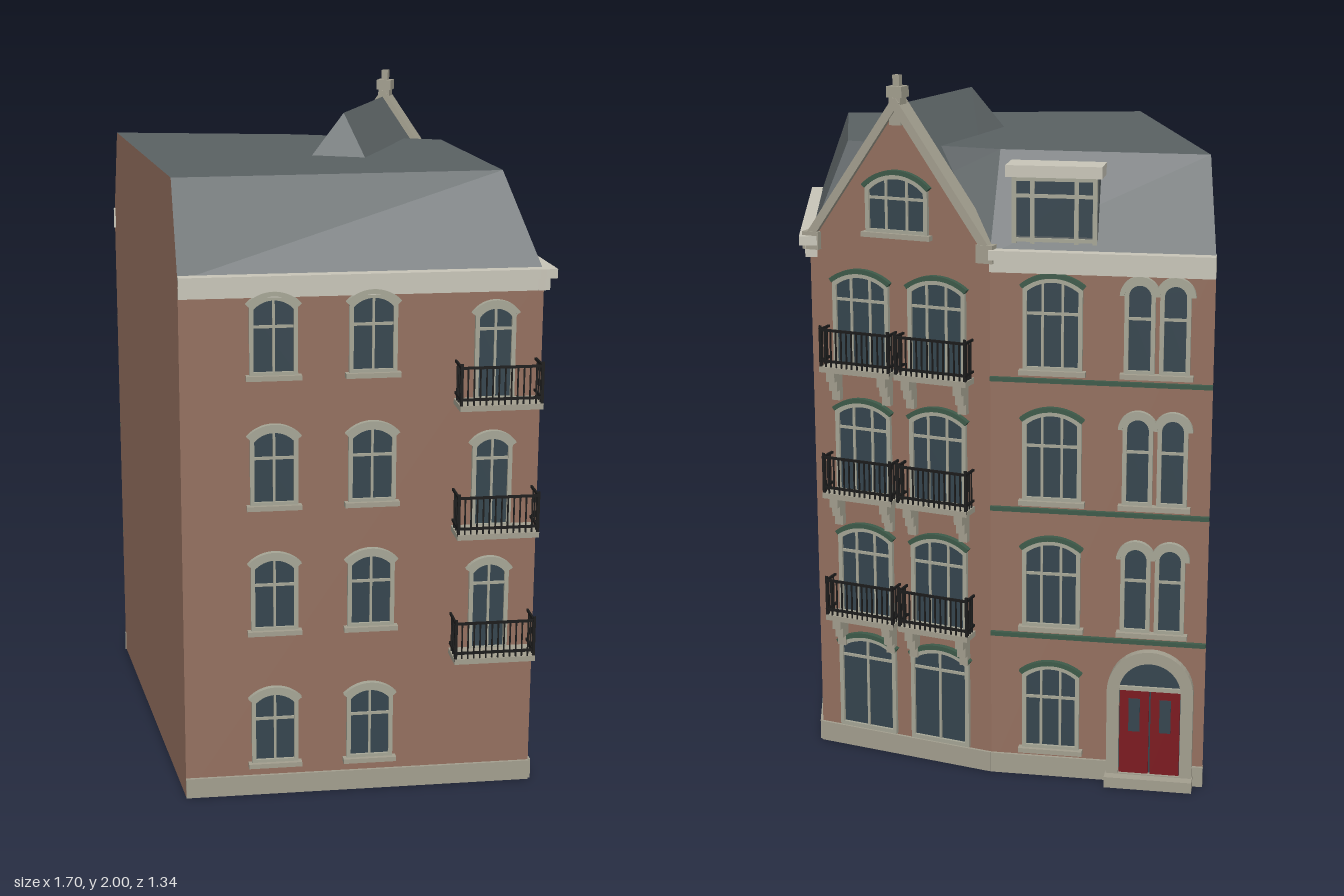
import * as THREE from 'three';

const mat = (color) => new THREE.MeshStandardMaterial({ color, flatShading: true, side: THREE.DoubleSide });
const M = {
  brick: mat(0x94705f), roof: mat(0x5a6163), stone: mat(0xa39f8f), cream: mat(0xc8c5b8), frame: mat(0xa6a696),
  glass: mat(0x35454e), iron: mat(0x1b1b1b), red: mat(0x7c1a20), green: mat(0x3d5a49),
};

// Footprint corners and the matching corners of the flat roof top, [x, z]
const FOOT = [[0.06, 0.645], [0.79, -0.06], [0.19, -0.63], [-0.33, -0.44], [-0.84, -0.1]];
const TOP = [[0, 0.595], [0.645, -0.065], [0.155, -0.51], [-0.28, -0.345], [-0.765, -0.038]];
const EAVE = 1.53, FLAT = 1.8, RIDGE = 1.92;

function add(parent, name, geometry, material, x = 0, y = 0, z = 0) {
  const m = new THREE.Mesh(geometry, material);
  m.name = name;
  m.position.set(x, y, z);
  parent.add(m);
  return m;
}
const box = (p, name, material, w, h, d, x, y, z) => add(p, name, new THREE.BoxGeometry(w, h, d), material, x, y, z);

// Flat-shaded mesh from convex polygons
function polygons(list) {
  const pos = [];
  for (const f of list) for (let i = 1; i < f.length - 1; i++) pos.push(...f[0], ...f[i], ...f[i + 1]);
  const g = new THREE.BufferGeometry();
  g.setAttribute('position', new THREE.Float32BufferAttribute(pos, 3));
  g.computeVertexNormals();
  return g;
}
const at = ([x, z], y) => [x, y, z];
const sideFace = (lo, hi, i, y0, y1) => {
  const j = (i + 1) % lo.length;
  return [at(lo[i], y0), at(lo[j], y0), at(hi[j], y1), at(hi[i], y1)];
};

// Wall frame: x runs along the wall, y up, z outward
function wallFrame(parent, name, i) {
  const P = FOOT[i], Q = FOOT[(i + 1) % 5], g = new THREE.Group();
  g.name = name;
  g.position.set(P[0], 0, P[1]);
  g.rotation.y = Math.atan2(P[1] - Q[1], Q[0] - P[0]);
  g.userData.length = Math.hypot(Q[0] - P[0], Q[1] - P[1]);
  parent.add(g);
  return g;
}

// Rectangle with an arched top of rise r
function arcOf(w, h, r) {
  const R = (w * w / 4 + r * r) / (2 * r), cy = h - R;
  return { R, cy, a: Math.atan2(h - r - cy, w / 2) };
}
function archPath(path, w, h, r, y0 = 0) {
  const { R, cy, a } = arcOf(w, h, r);
  path.moveTo(-w / 2, y0);
  path.lineTo(w / 2, y0);
  path.lineTo(w / 2, h - r);
  path.absarc(0, cy, R, a, Math.PI - a, false);
  path.closePath();
  return path;
}
const extrude = (shape, depth) => new THREE.ExtrudeGeometry(shape, { depth, bevelEnabled: false, curveSegments: 10 });

function archRing(w, h, r, t, depth) {
  const s = archPath(new THREE.Shape(), w, h, r);
  s.holes.push(archPath(new THREE.Path(), w - 2 * t, h - t, r * (w - 2 * t) / w, t));
  return extrude(s, depth);
}

// Arched window or glazed door
function windowUnit(wall, x, y, w, h, { r = 0.03, bars = 1, transom = 0.62, hood = M.frame, sill = true, z = 0 } = {}) {
  const g = new THREE.Group();
  g.name = 'window';
  g.position.set(x, y, z);
  wall.add(g);
  add(g, 'glass', new THREE.ShapeGeometry(archPath(new THREE.Shape(), w, h, r), 10), M.glass, 0, 0, 0.004);
  add(g, 'frame', archRing(w, h, r, 0.012, 0.012), M.frame);
  for (let i = 1; i <= bars; i++) box(g, 'mullion', M.frame, 0.007, h - 0.016, 0.008, -w / 2 + w * i / (bars + 1), h / 2, 0.005);
  if (transom) box(g, 'transom', M.frame, w - 0.01, 0.008, 0.008, 0, h * transom, 0.005);
  if (sill) box(g, 'sill', M.stone, w + 0.02, 0.014, 0.03, 0, -0.004, 0.008);
  const { R, cy, a } = arcOf(w, h, r), s = new THREE.Shape();
  s.absarc(0, cy, R + 0.013, a, Math.PI - a, false);
  s.absarc(0, cy, R, Math.PI - a, a, true);
  add(g, 'hood', extrude(s, 0.016), hood);
}

// Balcony: slab, iron railing and optional stepped brackets
function balcony(wall, x, y, w, d, brackets) {
  const g = new THREE.Group(), H = 0.115;
  g.name = 'balcony';
  g.position.set(x, y, 0);
  wall.add(g);
  box(g, 'slab', M.stone, w, 0.016, d, 0, 0, d / 2);
  for (const ry of [0.025, H]) {
    box(g, 'frontRail', M.iron, w, 0.007, 0.006, 0, ry, d - 0.004);
    for (const k of [-1, 1]) box(g, 'sideRail', M.iron, 0.006, 0.007, d, k * (w / 2 - 0.004), ry, d / 2);
  }
  const n = 13, m = 4;
  for (let i = 0; i <= n; i++) {
    const post = i === 0 || i === n, h = post ? H + 0.012 : H;
    box(g, 'bar', M.iron, post ? 0.008 : 0.004, h, 0.004, (i / n - 0.5) * (w - 0.008), h / 2, d - 0.004);
  }
  for (const k of [-1, 1]) {
    for (let i = 1; i < m; i++) box(g, 'bar', M.iron, 0.004, H, 0.004, k * (w / 2 - 0.004), H / 2, d * i / m);
    if (brackets) for (let i = 0; i < 3; i++)
      box(g, 'bracket', M.stone, 0.026, 0.03, d * (0.85 - i * 0.27), k * (w / 2 - 0.03), -0.022 - i * 0.03, d * (0.85 - i * 0.27) / 2);
  }
}

function cornice(wall, e0, e1) {
  const L = wall.userData.length;
  for (const [h, y, d] of [[0.036, 1.5, 0.014], [0.026, 1.531, 0.03]])
    box(wall, 'cornice', M.cream, L + (e0 + e1) * d, h, d + 0.02, L / 2 + (e1 - e0) * d / 2, y, (d - 0.02) / 2);
}

export function createModel() {
  const model = new THREE.Group();
  model.name = 'townHouse';

  // Brick body with the party wall gable
  const walls = FOOT.map((_, i) => sideFace(FOOT, FOOT, i, 0, EAVE));
  walls.push(sideFace(FOOT, TOP, 4, EAVE, FLAT), FOOT.map((p) => at(p, 0)).reverse());
  add(model, 'brickWalls', polygons(walls), M.brick);

  // Mansard roof
  const slopes = [0, 1, 2, 3].map((i) => sideFace(FOOT, TOP, i, EAVE, FLAT));
  add(model, 'mansardRoof', polygons([...slopes, TOP.map((p) => at(p, FLAT))]), M.roof);

  const [side, plain, gable, wing] = ['sideFacade', 'plainWall', 'gableFacade', 'wingFacade'].map((n, i) => wallFrame(model, n, i));
  for (const w of [side, plain, gable, wing])
    box(w, 'plinth', M.stone, w.userData.length, 0.06, 0.02, w.userData.length / 2, 0.03, -0.002);
  cornice(side, 0, 1);
  cornice(plain, 1, 1);
  cornice(wing, 0, 0);

  // Side facade: two window columns and one balcony column
  for (const y of [0.1, 0.51, 0.885, 1.26]) for (const x of [0.26, 0.537]) windowUnit(side, x, y, 0.135, 0.225);
  for (const y of [0.42, 0.795, 1.17]) {
    windowUnit(side, 0.88, y, 0.115, 0.275, { transom: 0.75, sill: false });
    balcony(side, 0.885, y, 0.235, 0.09, false);
  }

  // Gable facade: shop windows, then paired balconies
  for (const x of [0.16, 0.395]) {
    windowUnit(gable, x, 0.065, 0.185, 0.29, { bars: 1, transom: 0.78, hood: M.green, sill: false });
    for (const y of [0.42, 0.795, 1.17]) {
      windowUnit(gable, x, y, 0.175, 0.275, { bars: 2, transom: 0.72, hood: M.green, sill: false });
      balcony(gable, x, y, 0.22, 0.058, true);
    }
  }

  // Gable wall, window, coping and finial
  const L = gable.userData.length, c = L / 2;
  const tri = new THREE.Shape([new THREE.Vector2(0, EAVE), new THREE.Vector2(L, EAVE), new THREE.Vector2(c, RIDGE)]);
  add(gable, 'gableWall', extrude(tri, 0.04), M.brick, 0, 0, -0.04);
  windowUnit(gable, c, 1.565, 0.19, 0.165, { r: 0.04, bars: 2, transom: 0.6, hood: M.green });
  const slope = Math.hypot(c, RIDGE - EAVE), angle = Math.atan2(RIDGE - EAVE, c);
  for (const k of [-1, 1]) {
    const bar = box(gable, 'coping', M.stone, slope + 0.02, 0.024, 0.06, c + k * c / 2, (EAVE + RIDGE) / 2 + 0.005, -0.015);
    bar.rotation.z = -k * angle;
    box(gable, 'kneeler', M.stone, 0.05, 0.05, 0.06, c + k * (c - 0.01), EAVE, -0.012);
  }
  box(gable, 'finialBase', M.stone, 0.035, 0.09, 0.04, c, 1.91, -0.01);
  box(gable, 'finialCap', M.stone, 0.046, 0.03, 0.046, c, 1.955, -0.01);
  box(gable, 'finialTip', M.stone, 0.02, 0.03, 0.02, c, 1.985, -0.01);

  // Gable roof running back over the mansard, with a hipped end
  const l = [0, EAVE, -0.03], r = [L, EAVE, -0.03], a = [c, RIDGE, -0.03], b = [c, RIDGE, -0.5];
  const h = 0.08, bl = [c - h, FLAT, -0.555], br = [c + h, FLAT, -0.555];
  const dl = [0, EAVE, -0.555], dr = [L, EAVE, -0.555];
  add(gable, 'gableRoof', polygons([[l, a, b, bl, dl], [r, dr, br, b, a], [bl, b, br]]), M.roof);

  // Wing facade: wide windows, twin arched windows, string courses
  for (const y of [0.085, 0.46, 0.835, 1.21]) windowUnit(wing, 0.174, y, 0.165, 0.26, { bars: 2, hood: M.green });
  for (const y of [0.46, 0.835, 1.21]) {
    for (const x of [0.412, 0.508]) windowUnit(wing, x, y, 0.084, 0.26, { r: 0.041, bars: 0, transom: 0.6 });
    box(wing, 'stringCourse', M.green, wing.userData.length, 0.012, 0.016, wing.userData.length / 2, y - 0.028, 0.004);
  }

  // Entrance: stone arch, fanlight, red double door and step
  const door = new THREE.Group();
  door.name = 'entrance';
  door.position.set(0.46, 0, 0);
  wing.add(door);
  add(door, 'doorSurround', archRing(0.245, 0.41, 0.12, 0.035, 0.026), M.stone);
  add(door, 'fanlight', new THREE.ShapeGeometry(archPath(new THREE.Shape(), 0.18, 0.38, 0.088), 10), M.glass, 0, 0, 0.012);
  box(door, 'doorHead', M.frame, 0.18, 0.012, 0.02, 0, 0.295, 0.01);
  for (const k of [-1, 1]) {
    box(door, 'doorLeaf', M.red, 0.083, 0.265, 0.018, k * 0.044, 0.16, 0.01);
    box(door, 'doorGlass', M.glass, 0.032, 0.1, 0.004, k * 0.044, 0.215, 0.02);
  }
  box(door, 'step', M.stone, 0.25, 0.032, 0.055, 0, 0.016, 0.027);

  // Flat-roofed dormer
  const dormer = new THREE.Group();
  dormer.name = 'dormer';
  dormer.position.set(0.175, 0, 0);
  wing.add(dormer);
  box(dormer, 'dormerBody', M.roof, 0.235, 0.2, 0.09, 0, 1.645, -0.06);
  box(dormer, 'dormerGlass', M.glass, 0.21, 0.15, 0.006, 0, 1.655, -0.014);
  for (const x of [-0.11, -0.06, 0.06, 0.11]) box(dormer, 'dormerPost', M.frame, 0.012, 0.18, 0.012, x, 1.65, -0.012);
  for (const y of [1.57, 1.69, 1.735]) box(dormer, 'dormerRail', M.frame, 0.23, 0.01, 0.012, 0, y, -0.012);
  box(dormer, 'dormerRoof', M.cream, 0.262, 0.032, 0.105, 0, 1.758, -0.042);

  return model;
}
